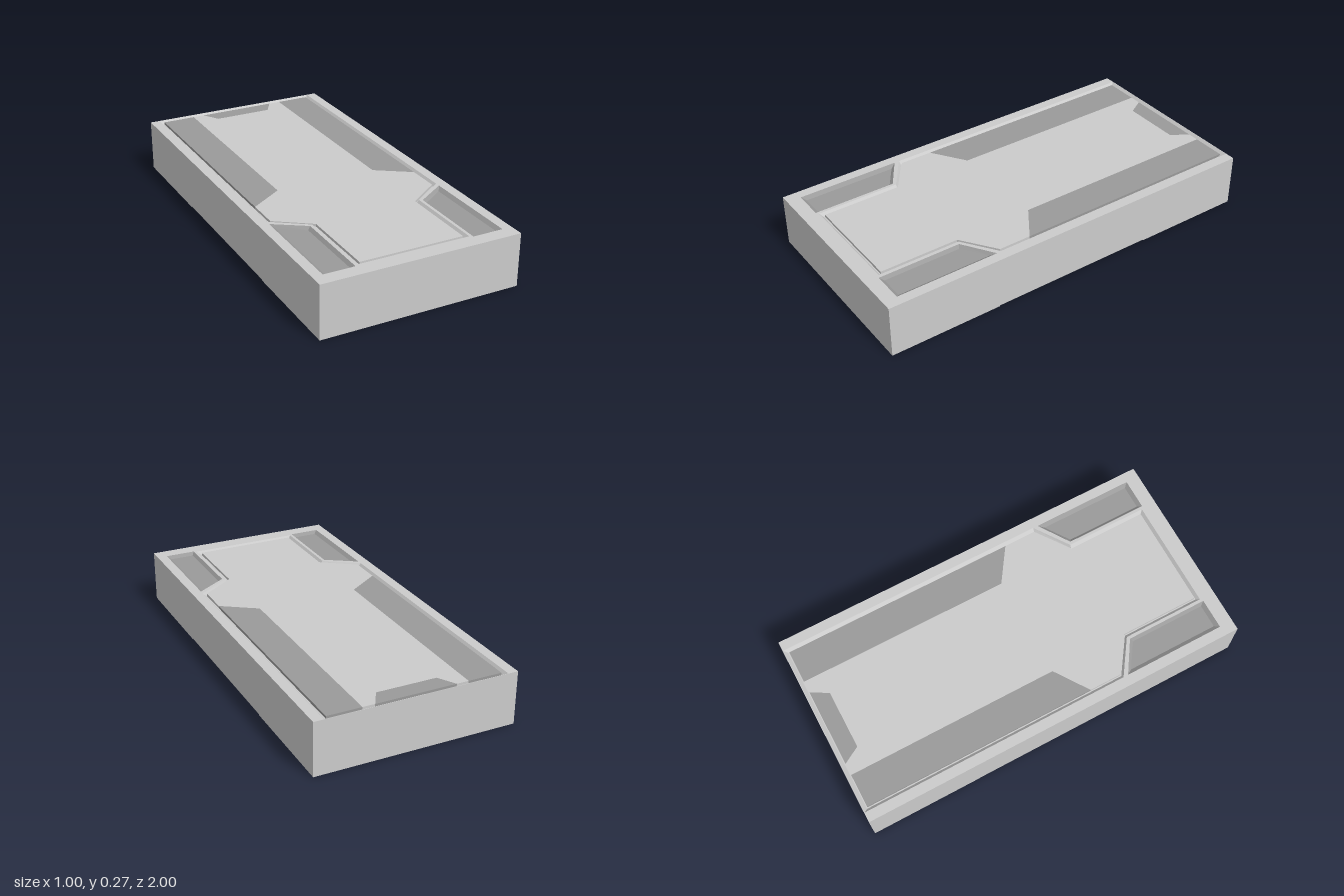
import * as THREE from 'three';

const LIGHT = 0xcccccc, DARK = 0x9a9a9a;
const TOP = 0.266, PANEL = 0.263, FLOOR = 0.25, LIFT = 0.005;

const material = (color) => new THREE.MeshStandardMaterial({ color, flatShading: true });
const mirror = (pts) => pts.map(([x, z]) => [-x, z]).reverse();
const toVectors = (pts) => pts.map(([x, z]) => new THREE.Vector2(x, z));

// Flat plate from an outline in (x, z), with its upper face at the given height
function plate(name, pts, top, depth, color = LIGHT, holes = []) {
  const shape = new THREE.Shape(toVectors(pts));
  holes.forEach((h) => shape.holes.push(new THREE.Path(toVectors(h))));
  const geo = new THREE.ExtrudeGeometry(shape, { depth, bevelEnabled: false });
  geo.rotateX(Math.PI / 2).translate(0, top, 0);
  const mesh = new THREE.Mesh(geo, material(color));
  mesh.name = name;
  return mesh;
}

// Sloping wall between an outer outline and a lower inner outline
function slope(name, outer, inner, y0, y1, color = LIGHT) {
  const pos = [];
  outer.forEach((A, i) => {
    const j = (i + 1) % outer.length;
    const B = outer[j], a = inner[i], b = inner[j];
    const P = [A[0], y0, A[1]], Q = [B[0], y0, B[1]];
    const p = [a[0], y1, a[1]], q = [b[0], y1, b[1]];
    pos.push(...P, ...p, ...q, ...P, ...q, ...Q);
  });
  const geo = new THREE.BufferGeometry();
  geo.setAttribute('position', new THREE.Float32BufferAttribute(pos, 3));
  geo.computeVertexNormals();
  const mesh = new THREE.Mesh(geo, material(color));
  mesh.name = name;
  return mesh;
}

// Closed symmetric outline from its +x half, listed back to front
const symmetric = (half) => [...half, ...mirror(half)];

export function createModel() {
  const group = new THREE.Group();
  group.name = 'floorTile';

  const edge = symmetric([[0.5, -1], [0.5, 1]]);
  const recess = symmetric([[0.45, -0.998], [0.45, 0.385], [0.28, 0.503], [0.28, 0.92]]);
  const recessFoot = symmetric([[0.436, -0.98], [0.436, 0.382], [0.266, 0.502], [0.266, 0.906]]);
  const pocket = [[0.45, 0.41], [0.45, 0.93], [0.295, 0.93], [0.295, 0.512]];
  const pocketFoot = [[0.43, 0.44], [0.43, 0.91], [0.31, 0.91], [0.31, 0.522]];
  const notch = [[0.5, -0.43], [0.5, 0.43], [0.4, 0.385], [0.4, -0.385]];

  // Body: core, underside with side notches, and upper rim
  group.add(plate('core', edge, FLOOR, FLOOR - LIFT));
  const underside = symmetric([[0.5, -1], [0.5, -0.43], [0.4, -0.385], [0.4, 0.385], [0.5, 0.43], [0.5, 1]]);
  group.add(plate('underside', underside, LIFT, LIFT));
  group.add(plate('rim', edge, TOP, TOP - FLOOR, LIGHT, [recess, pocket, mirror(pocket)]));
  group.add(slope('recessWall', recess, recessFoot, TOP, FLOOR));

  // Main panel, cut around its dark inlays
  const t = PANEL - FLOOR;
  const panel = symmetric([
    [0.15, -0.89], [0.2, -0.975], [0.26, -0.975], [0.26, 0.1],
    [0.43, 0.215], [0.43, 0.38], [0.26, 0.5], [0.26, 0.9],
  ]);
  group.add(plate('panel', panel, PANEL, t));
  const backInlay = symmetric([[0.2, -0.975], [0.15, -0.89]]);
  group.add(plate('backInlay', backInlay, PANEL, t, DARK));
  const sideInlay = [[0.26, -0.975], [0.43, -0.975], [0.43, 0.215], [0.26, 0.1]];

  // Paired parts
  for (const [side, flip] of [['left', (p) => p], ['right', mirror]]) {
    group.add(plate(side + 'Inlay', flip(sideInlay), PANEL, t, DARK));
    group.add(slope(side + 'PocketWall', flip(pocket), flip(pocketFoot), TOP, FLOOR + 0.002, DARK));
    group.add(plate(side + 'PocketFloor', flip(pocketFoot), FLOOR + 0.002, 0.002, DARK));
    group.add(plate(side + 'UndersideNotch', flip(notch), LIFT, 0.001, DARK));
  }
  return group;
}
